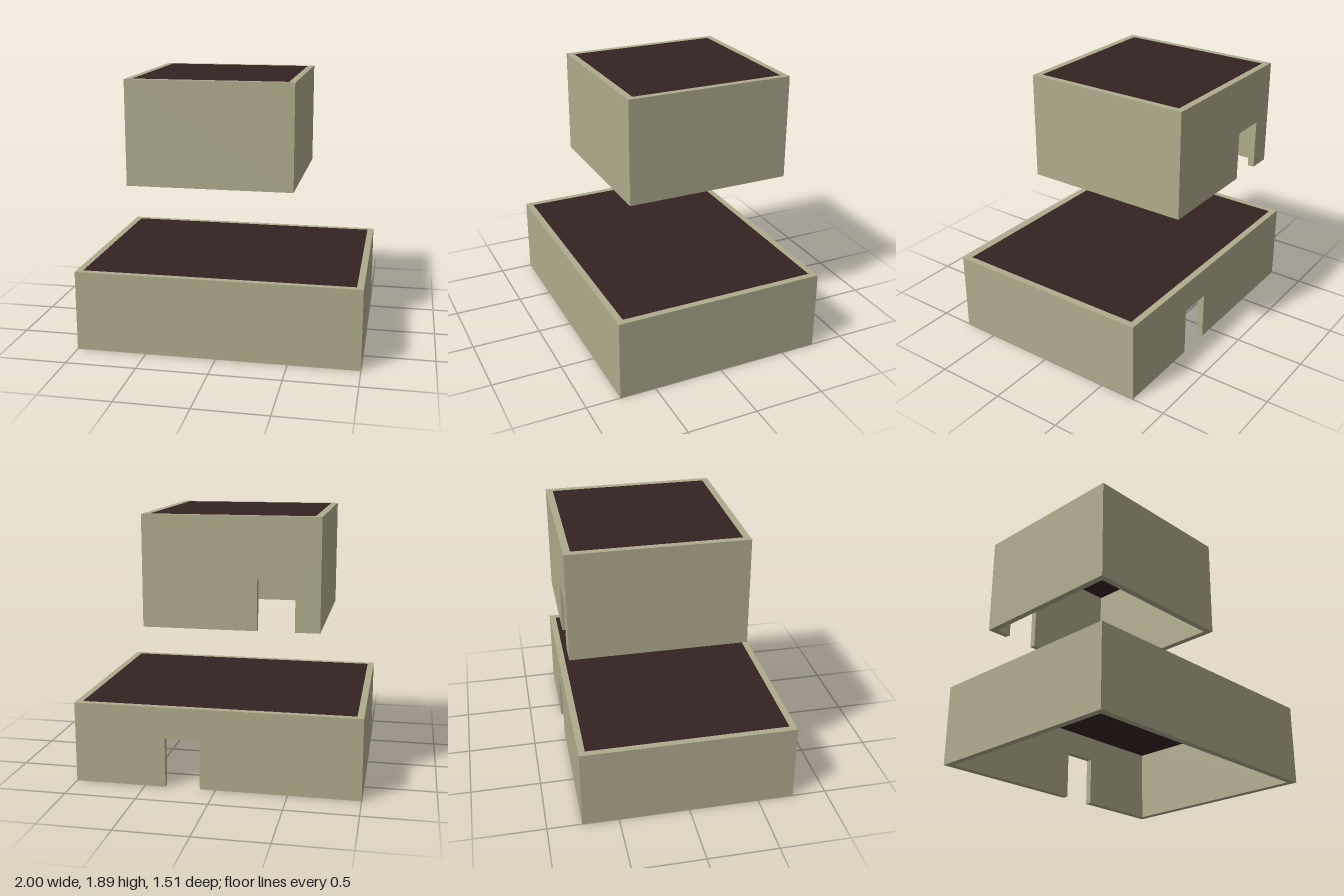
import * as THREE from 'three';

const T = 0.047; // wall and roof thickness
const BACK = -0.757;

function polygon(points) {
  return new THREE.Shape(points.map(([x, y]) => new THREE.Vector2(x, y)));
}

// One storey: U-shaped walls, back wall with a doorway, flush roof, open underside
function makeStorey({ name, x0, x1, y0, height, front, door }, wallMat, roofMat) {
  const storey = new THREE.Group();
  storey.name = name;
  const add = (part, geometry, material) => {
    const mesh = new THREE.Mesh(geometry, material);
    mesh.name = part;
    storey.add(mesh);
    return mesh;
  };

  // Front and side walls, drawn in plan (shape y = -z) and extruded upwards
  const inner = BACK + T;
  const plan = polygon([
    [x0, -inner], [x0, -front], [x1, -front], [x1, -inner],
    [x1 - T, -inner], [x1 - T, T - front], [x0 + T, T - front], [x0 + T, -inner],
  ]);
  const walls = new THREE.ExtrudeGeometry(plan, { depth: height, bevelEnabled: false });
  walls.rotateX(-Math.PI / 2);
  add('frontAndSideWalls', walls, wallMat).position.y = y0;

  // Back wall with a doorway reaching the bottom edge
  const [d0, d1, doorHeight] = door;
  const elevation = polygon([
    [x0, 0], [d0, 0], [d0, doorHeight], [d1, doorHeight], [d1, 0],
    [x1, 0], [x1, height], [x0, height],
  ]);
  const back = new THREE.ExtrudeGeometry(elevation, { depth: T, bevelEnabled: false });
  add('backWall', back, wallMat).position.set(0, y0, BACK);

  // Roof slab set between the walls
  const roof = new THREE.BoxGeometry(x1 - x0 - 2 * T, T, front - BACK - 2 * T);
  add('roof', roof, roofMat).position.set((x0 + x1) / 2, y0 + height - T / 2, (front + BACK) / 2);
  return storey;
}

export function createModel() {
  const wallMat = new THREE.MeshStandardMaterial({ color: 0xb0ab8d });
  wallMat.name = 'sandstone';
  const roofMat = new THREE.MeshStandardMaterial({ color: 0x352222 });
  roofMat.name = 'dark brown';

  const model = new THREE.Group();
  model.name = 'house';
  const storeys = [
    { name: 'lowerStorey', x0: -1, x1: 1, y0: 0, height: 0.575, front: 0.757, door: [0.11, 0.355, 0.35] },
    { name: 'upperStorey', x0: -0.7, x1: 0.488, y0: 1.135, height: 0.753, front: 0.452, door: [-0.535, -0.285, 0.35] },
  ];
  for (const s of storeys) model.add(makeStorey(s, wallMat, roofMat));
  return model;
}
